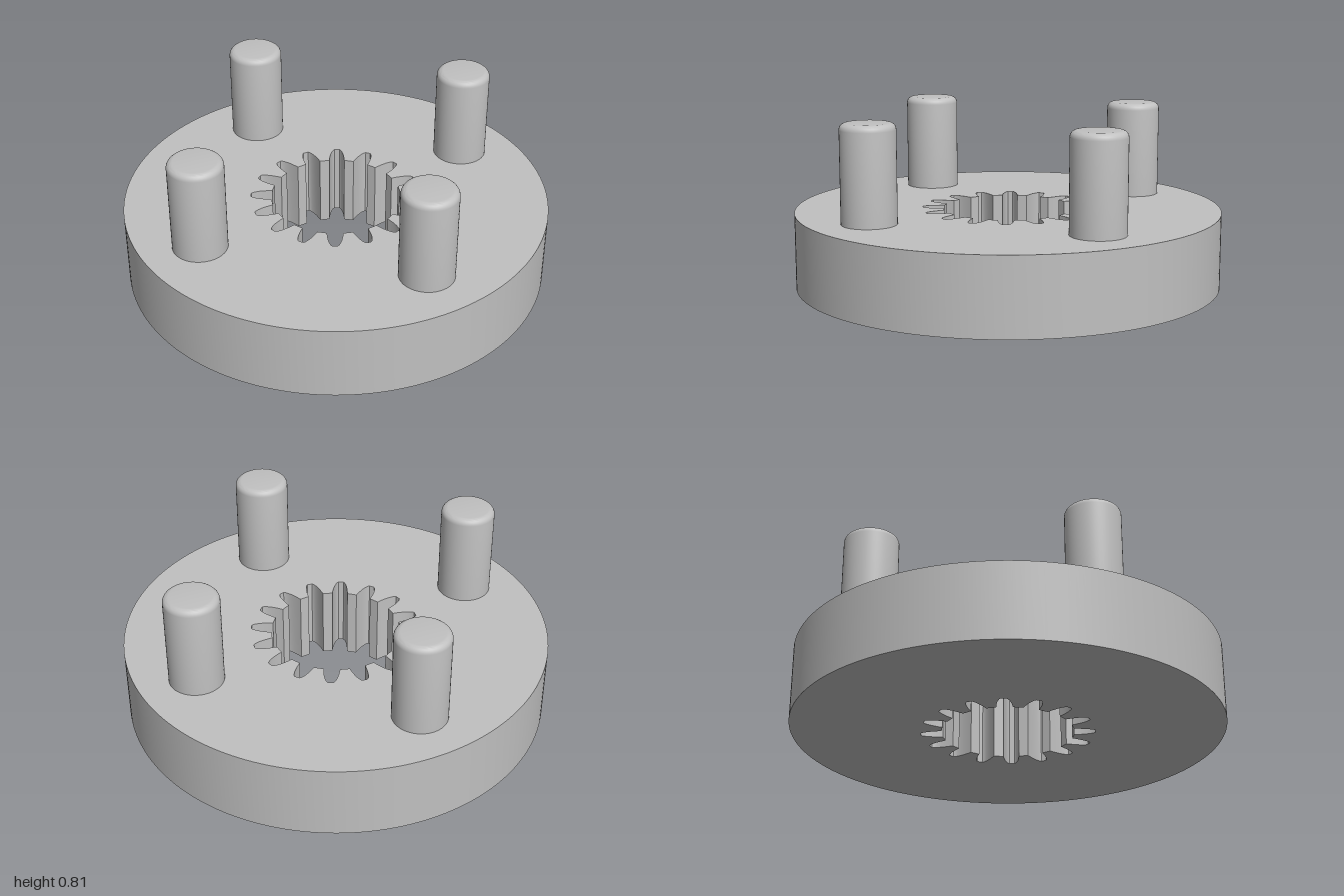
import * as THREE from 'three';
import { toCreasedNormals } from 'three/addons/utils/BufferGeometryUtils.js';

const TEETH = 16;
const DISC_HEIGHT = 0.355;

// Half of one tooth slot, root to tip: [radius, half width]
const SLOT = [
  [0.304, 0.037], [0.325, 0.0355], [0.345, 0.033], [0.365, 0.0295],
  [0.382, 0.0245], [0.396, 0.0185], [0.403, 0.012],
];

// Closed outline of the toothed bore
function boreOutline() {
  const points = [];
  const flank = [...SLOT.map(([r, w]) => [r, -w]), ...SLOT.map(([r, w]) => [r, w]).reverse()];
  for (let i = 0; i < TEETH; i++) {
    const a = ((i + 0.5) / TEETH) * Math.PI * 2;
    for (const [r, w] of flank) {
      points.push(new THREE.Vector2(
        r * Math.cos(a) - w * Math.sin(a),
        r * Math.sin(a) + w * Math.cos(a),
      ));
    }
  }
  return new THREE.Path(points);
}

// Round disc with the bore cut right through
function discGeometry() {
  const shape = new THREE.Shape();
  shape.absarc(0, 0, 1, 0, Math.PI * 2, false);
  shape.holes.push(boreOutline());
  const geometry = new THREE.ExtrudeGeometry(shape, {
    depth: DISC_HEIGHT, bevelEnabled: false, curveSegments: 96,
  });
  geometry.rotateX(-Math.PI / 2);
  return toCreasedNormals(geometry, 0.5);
}

// Straight pin with a rounded top rim
function pinGeometry(radius, top, fillet) {
  const profile = [
    new THREE.Vector2(radius, DISC_HEIGHT - 0.01),
    new THREE.Vector2(radius, top - fillet),
  ];
  for (let i = 1; i <= 6; i++) {
    const a = (i / 6) * Math.PI / 2;
    profile.push(new THREE.Vector2(
      radius - fillet + fillet * Math.cos(a),
      top - fillet + fillet * Math.sin(a),
    ));
  }
  profile.push(new THREE.Vector2(0, top));
  return toCreasedNormals(new THREE.LatheGeometry(profile, 48), 0.5);
}

export function createModel() {
  const group = new THREE.Group();
  group.name = 'splinedPinHub';
  const steel = new THREE.MeshStandardMaterial({ color: 0xc0c0c0 });
  steel.name = 'light grey';

  const disc = new THREE.Mesh(discGeometry(), steel);
  disc.name = 'toothedDisc';
  group.add(disc);

  // Four drive pins on a common circle
  const pinShape = pinGeometry(0.127, 0.81, 0.03);
  for (let i = 0; i < 4; i++) {
    const a = (i * Math.PI) / 2;
    const pin = new THREE.Mesh(pinShape, steel);
    pin.name = `drivePin${i + 1}`;
    pin.position.set(0.73 * Math.cos(a), 0, 0.73 * Math.sin(a));
    group.add(pin);
  }
  return group;
}
